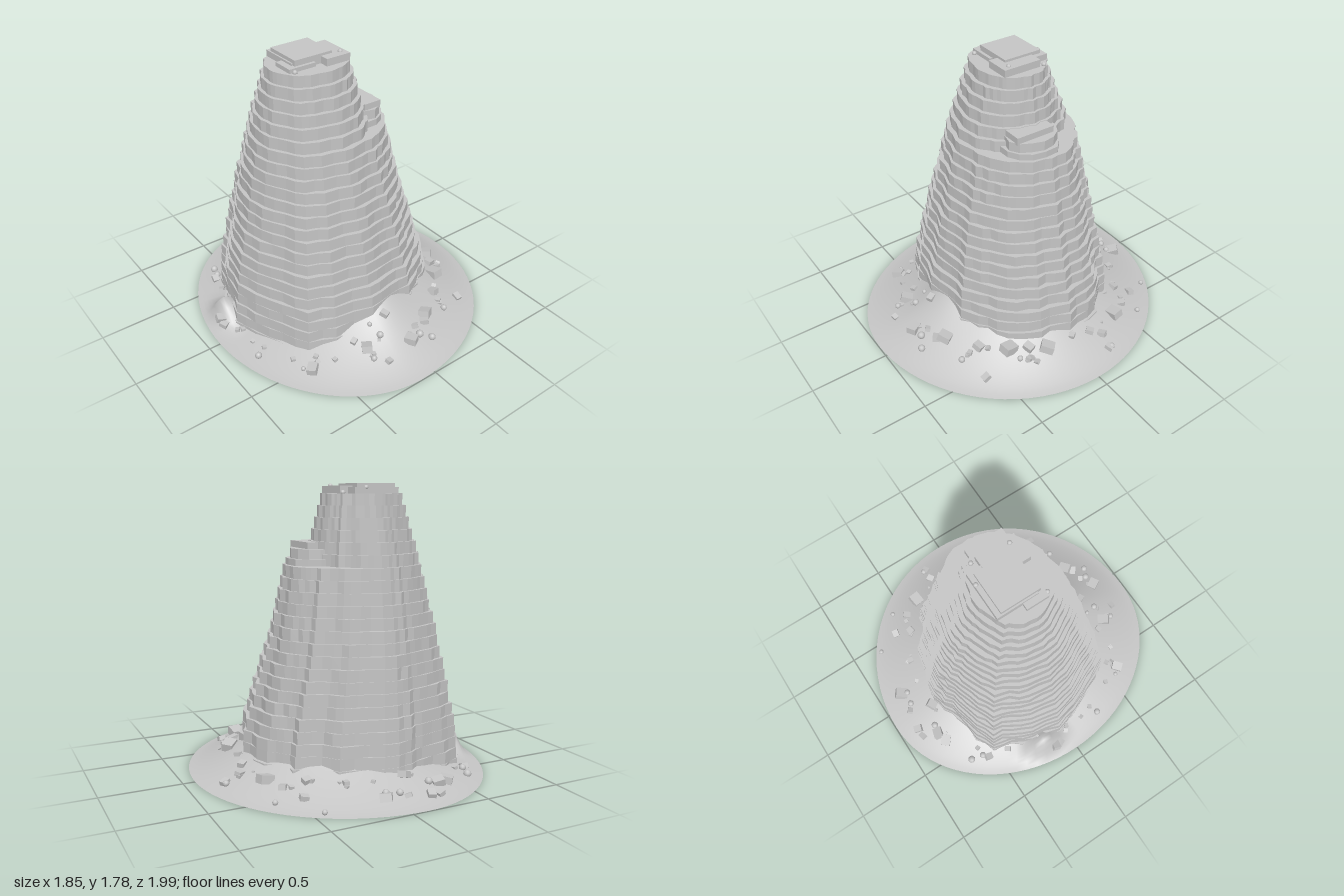
import * as THREE from 'three';

const stone = new THREE.MeshStandardMaterial({ color: 0xc4c4c4 });
stone.name = 'grey stone';
const scree = new THREE.MeshStandardMaterial({ color: 0xc4c4c4, side: THREE.DoubleSide });
scree.name = 'grey scree';

// Plan of the foot of the rock (x, z), walked once around
const FOOT = [
  [0.61, -0.08], [0.6, 0.06], [0.56, 0.18], [0.51, 0.32], [0.4, 0.4], [0.3, 0.47], [0.19, 0.53], [0.04, 0.54],
  [-0.13, 0.555], [-0.39, 0.51], [-0.55, 0.44], [-0.65, 0.29], [-0.71, 0.1], [-0.76, -0.05], [-0.71, -0.24],
  [-0.66, -0.38], [-0.62, -0.5], [-0.5, -0.57], [-0.31, -0.6], [-0.2, -0.63], [-0.1, -0.66], [0.08, -0.63],
  [0.24, -0.58], [0.31, -0.49], [0.45, -0.43], [0.5, -0.34], [0.56, -0.26],
];
// Height, then the reach to -x, +x, -z and +z
const REACH = [
  [0, -0.77, 0.64, -0.67, 0.58], [0.3, -0.74, 0.595, -0.65, 0.55], [0.8, -0.635, 0.44, -0.57, 0.43],
  [1.26, -0.53, 0.335, -0.46, 0.305], [1.28, -0.525, 0.19, -0.455, 0.295], [1.72, -0.41, 0.09, -0.29, 0.13],
];
// Fallen blocks: x, z, size
const BLOCKS = [
  [-0.2, -0.87, 0.055], [-0.26, -0.87, 0.045], [-0.06, -0.85, 0.04], [0.08, -0.84, 0.08], [-0.38, -0.75, 0.075],
  [-0.31, -0.77, 0.07], [-0.12, -0.7, 0.065], [0.24, -0.66, 0.04], [0.49, -0.64, 0.05], [0.43, -0.54, 0.05],
  [0.56, -0.5, 0.05], [0.62, -0.38, 0.085], [0.71, -0.2, 0.05], [0.8, -0.19, 0.05], [0.67, -0.13, 0.05],
  [0.65, 0, 0.04], [0.64, 0.19, 0.085], [0.58, 0.29, 0.06], [0.52, 0.4, 0.09], [0.63, 0.32, 0.04],
  [0.39, 0.54, 0.06], [0.56, 0.6, 0.05], [0.38, 0.6, 0.035], [0.2, 0.67, 0.08], [0.16, 0.71, 0.055],
  [-0.01, 0.78, 0.075], [0.07, 0.72, 0.04], [-0.28, 0.68, 0.075], [-0.08, 0.6, 0.05], [-0.21, 0.81, 0.04],
  [-0.61, 0.57, 0.07], [-0.32, 0.6, 0.04], [-0.84, -0.13, 0.06], [-0.84, -0.09, 0.05], [-0.64, -0.56, 0.05],
  [-0.67, -0.42, 0.04],
];
const PEBBLES = [
  [-0.02, -0.82], [0.06, -0.8], [-0.25, -0.76], [0.44, -0.8], [-0.59, -0.67], [-0.61, -0.59], [0.64, -0.58],
  [0.8, -0.21], [-0.8, 0.26], [-0.17, 0.67], [0.07, 0.77], [0.14, 0.81], [-0.19, 0.59], [0.38, 0.66],
  [0.6, 0.37], [-0.28, 0.75], [-0.65, 0.53],
];

let seed = 7;
function rand(lo, hi) {
  seed = (seed * 16807) % 2147483647;
  return lo + (hi - lo) * seed / 2147483647;
}

function reachAt(y) {
  let i = 0;
  while (i < REACH.length - 2 && y > REACH[i + 1][0]) i++;
  const [a, b] = [REACH[i], REACH[i + 1]];
  const t = (y - a[0]) / (b[0] - a[0]);
  return a.map((v, k) => v + (b[k] - v) * t);
}

// Upright slab over a plan outline
function slab(points, y, height) {
  const shape = new THREE.Shape(points.map(([x, z]) => new THREE.Vector2(x, -z)));
  const geo = new THREE.ExtrudeGeometry(shape, { depth: height, bevelEnabled: false });
  return geo.rotateX(-Math.PI / 2).translate(0, y, 0);
}

// Height of the scree, hollow near the rim; r runs from 0.5 under the rock to 1 at the rim
const rimX = (c) => (c > 0 ? 1.025 : 0.825);
function screeHeight(x, z) {
  const u = (x + 0.1) / rimX(x + 0.1), v = z / 0.995;
  const s = Math.max(0, (1 - Math.hypot(u, v)) / 0.5);
  const a = Math.atan2(v, u);
  const h = 0.22 + 0.075 * Math.cos(a) + 0.02 * Math.sin(a) + 0.065 * Math.exp(-((a - 1.45) ** 2) / 0.1);
  const mound = 0.15 * Math.exp(-((x + 0.78) ** 2 + (z + 0.19) ** 2) / 0.01);
  return h * s ** 1.35 + mound * Math.min(1, s * 4);
}

function screeGeometry(rings = 16, segs = 80) {
  const pos = [], index = [];
  for (let j = 0; j <= rings; j++) {
    const r = 1 - 0.5 * j / rings;
    for (let i = 0; i < segs; i++) {
      const a = i / segs * Math.PI * 2, c = Math.cos(a);
      const x = -0.1 + r * c * rimX(c), z = r * 0.995 * Math.sin(a);
      pos.push(x, screeHeight(x, z), z);
      if (j === rings) continue;
      const p = j * segs + i, q = j * segs + (i + 1) % segs;
      index.push(p, p + segs, q, q, p + segs, q + segs);
    }
  }
  const geo = new THREE.BufferGeometry();
  geo.setAttribute('position', new THREE.Float32BufferAttribute(pos, 3));
  geo.setIndex(index);
  geo.computeVertexNormals();
  return geo;
}

export function createModel() {
  const model = new THREE.Group();
  const add = (name, geo, mat = stone) => {
    const mesh = new THREE.Mesh(geo, mat);
    mesh.name = name;
    model.add(mesh);
    return mesh;
  };

  // Foot plan as unit directions, with ridges that run up every layer
  const unit = [];
  FOOT.forEach(([x, z], i) => {
    const n = FOOT[(i + 1) % FOOT.length];
    for (const t of [0, 0.5]) {
      const px = x + (n[0] - x) * t + 0.07, pz = z + (n[1] - z) * t + 0.05;
      const u = px / (px > 0 ? 0.68 : 0.69), v = pz / (pz > 0 ? 0.605 : 0.61);
      unit.push({ u, v, size: Math.hypot(u, v), ridge: 1 + rand(-0.025, 0.02) });
    }
  });

  // Rock layers, rounder towards the summit
  const count = 24, step = 1.72 / count;
  for (let k = 0; k < count; k++) {
    const y = k * step;
    const [, xl, xr, zb, zf] = reachAt(y + step / 2);
    const cx = -0.07 - 0.05 * y, cz = -0.05 - 0.015 * y;
    const points = unit.map(({ u, v, size, ridge }) => {
      const round = 1 + (1 / size - 1) * 0.6 * Math.min(1, y / 1.2);
      const f = round * ridge * (1 + rand(-0.012, 0.012));
      return [cx + u * f * (u > 0 ? xr - cx : cx - xl), cz + v * f * (v > 0 ? zf - cz : cz - zb)];
    });
    add('rockLayer', slab(points, y, step));
  }

  // Stepped shoulder beside the summit
  [[1.27, 1.33, 0.17], [1.33, 1.39, 0.145]].forEach(([y0, y1, r]) => {
    const points = [];
    for (let i = 0; i < 14; i++) {
      const a = i / 14 * Math.PI * 2, q = r * rand(0.94, 1.06);
      points.push([0.14 + q * Math.cos(a), -0.02 + q * 1.15 * Math.sin(a)]);
    }
    add('shoulderLayer', slab(points, y0, y1 - y0));
  });

  // Flat slabs on the shoulder and the summit: x0, x1, z0, z1, y0, y1
  [
    [0.11, 0.23, -0.13, 0.13, 1.38, 1.43], [-0.31, -0.05, -0.23, 0.02, 1.71, 1.78],
    [-0.13, 0.035, -0.17, 0.08, 1.71, 1.765], [-0.36, -0.18, -0.1, 0.04, 1.71, 1.745],
    [-0.32, -0.02, -0.26, 0, 1.71, 1.758],
  ].forEach(([x0, x1, z0, z1, y0, y1]) => {
    add('capSlab', new THREE.BoxGeometry(x1 - x0, y1 - y0, z1 - z0))
      .position.set((x0 + x1) / 2, (y0 + y1) / 2, (z0 + z1) / 2);
  });

  // Scree skirt with fallen rubble
  add('screeSkirt', screeGeometry(), scree);
  BLOCKS.forEach(([x, z, size]) => {
    const block = add('fallenBlock', new THREE.BoxGeometry(size, size * 0.6, size * 0.85));
    block.position.set(x, screeHeight(x, z) + size * 0.2, z);
    block.rotation.set(rand(-0.3, 0.3), rand(0, 3), rand(-0.3, 0.3));
  });
  for (let i = 0; i < 36; i++) {
    const a = rand(0, Math.PI * 2), r = rand(0.74, 0.84), size = rand(0.015, 0.03);
    const x = -0.1 + r * Math.cos(a) * rimX(Math.cos(a)), z = r * 0.93 * Math.sin(a);
    const chip = add('stoneChip', new THREE.BoxGeometry(size, size * 0.7, size));
    chip.position.set(x, screeHeight(x, z) + size * 0.2, z);
    chip.rotation.set(rand(-0.4, 0.4), rand(0, 3), rand(-0.4, 0.4));
  }
  const pebble = new THREE.IcosahedronGeometry(1, 1);
  const addPebble = (x, y, z, r) => {
    const mesh = add('pebble', pebble);
    mesh.position.set(x, y, z);
    mesh.scale.setScalar(r);
  };
  PEBBLES.forEach(([x, z]) => addPebble(x, screeHeight(x, z) + 0.01, z, rand(0.015, 0.025)));
  [[-0.1, -0.25, 1.755], [0.03, -0.2, 1.725], [0, 0.03, 1.765], [-0.33, 0.05, 1.725]]
    .forEach(([x, z, y]) => addPebble(x, y, z, 0.015));

  return model;
}
